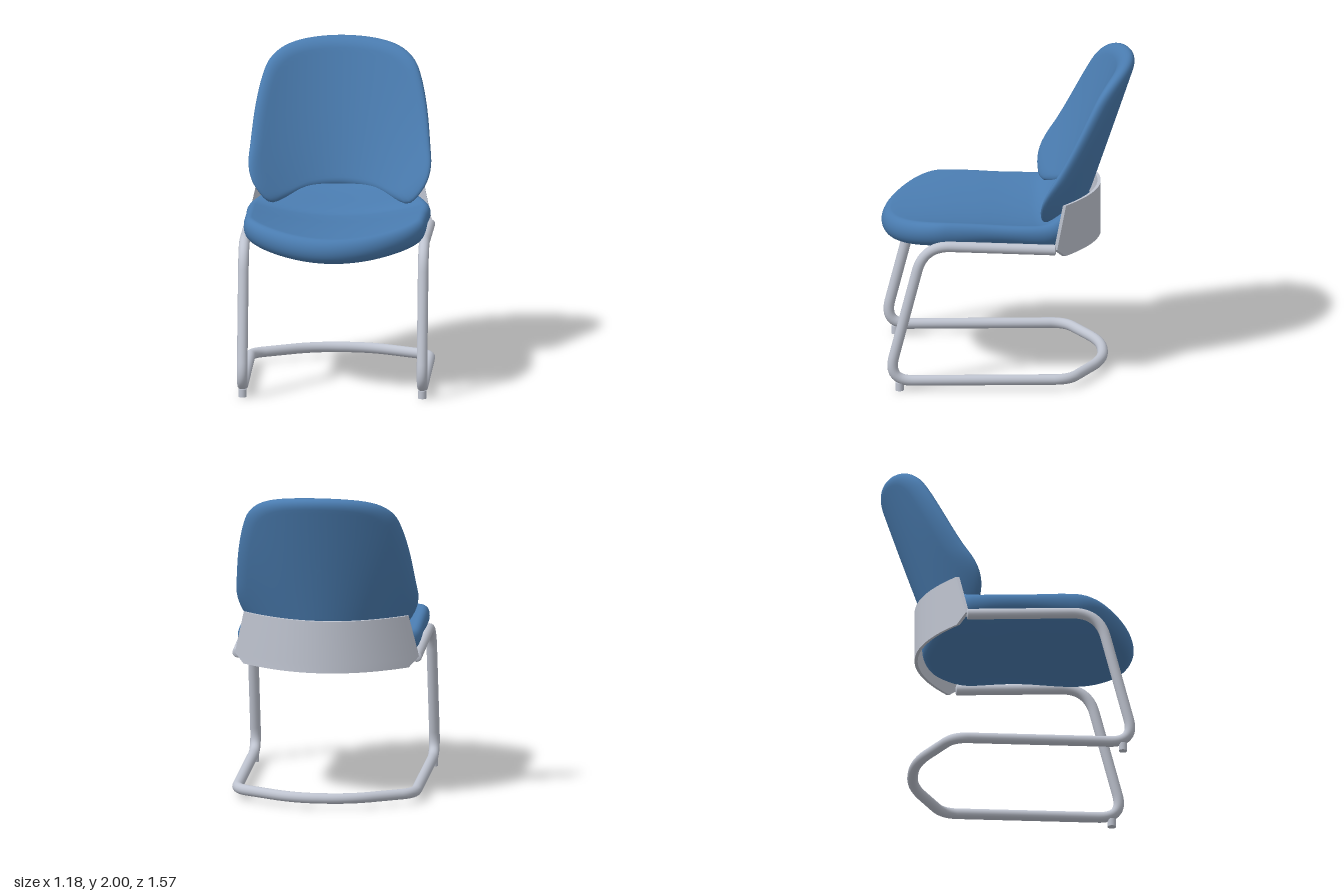
import * as THREE from 'three';
import { toCreasedNormals } from 'three/addons/utils/BufferGeometryUtils.js';

const V = (x, y, z) => new THREE.Vector3(x, y, z);
const { smoothstep } = THREE.MathUtils;

// Skin a series of closed rings that all have the same number of points
function loft(rings) {
  const n = rings[0].length;
  const index = [];
  for (let i = 0; i < rings.length - 1; i++) {
    for (let j = 0; j < n; j++) {
      const a = i * n + j, b = i * n + (j + 1) % n;
      index.push(a, a + n, b, b, a + n, b + n);
    }
  }
  const geometry = new THREE.BufferGeometry().setFromPoints(rings.flat());
  geometry.setIndex(index);
  geometry.computeVertexNormals();
  return geometry;
}

// Padded cushion: a mirrored outline with a rounded rim; place(u, v, h) bends it,
// with h running from +1 on the face to -1 on the underside
function cushion(half, centreV, rim, place) {
  const mirrored = half.slice(1, -1).reverse().map(([u, v]) => [-u, v]);
  const points = [...half, ...mirrored].map(([u, v]) => V(u, v, 0));
  const outline = new THREE.CatmullRomCurve3(points, true).getSpacedPoints(112).slice(0, -1);
  const steps = [];
  for (let i = 0; i < 16; i++) steps.push([Math.max(i / 16, 0.001) * (1 - rim), 1]);
  for (let i = 0; i <= 14; i++) {
    const angle = Math.PI * (0.5 - i / 14);
    steps.push([1 - rim * (1 - Math.cos(angle)), Math.sin(angle)]);
  }
  for (let i = 15; i >= 0; i--) steps.push([Math.max(i / 16, 0.001) * (1 - rim), -1]);
  return loft(steps.map(([s, h]) =>
    outline.map((p) => place(p.x * s, centreV + (p.y - centreV) * s, h))));
}

// Straight runs joined by soft bends; each corner is [point, trim length]
function bentPath(corners) {
  const path = new THREE.CurvePath();
  let from = corners[0][0];
  for (let i = 1; i < corners.length - 1; i++) {
    const [p, trim] = corners[i];
    const toward = (q) => q.clone().sub(p).setLength(trim).add(p);
    const start = toward(corners[i - 1][0]), end = toward(corners[i + 1][0]);
    path.add(new THREE.LineCurve3(from, start));
    path.add(new THREE.QuadraticBezierCurve3(start, p, end));
    from = end;
  }
  path.add(new THREE.LineCurve3(from, corners[corners.length - 1][0]));
  return path;
}

export function createModel() {
  const group = new THREE.Group();
  const fabric = new THREE.MeshStandardMaterial({ color: 0x4a7cb0 });
  fabric.name = 'blueFabric';
  const metal = new THREE.MeshStandardMaterial({ color: 0xbfc4d0 });
  metal.name = 'greyMetal';
  const add = (name, geometry, material) => {
    const mesh = new THREE.Mesh(geometry, material);
    mesh.name = name;
    group.add(mesh);
    return mesh;
  };

  // Seat: dished across, thinner in the middle, sweeping up to the backrest at the rear
  const seatOutline = [[0, 0.78], [0.2, 0.745], [0.38, 0.655], [0.5, 0.55], [0.555, 0.45],
    [0.565, 0.35], [0.565, 0.1], [0.565, -0.2], [0.54, -0.3], [0.45, -0.39], [0.3, -0.47],
    [0, -0.53]];
  add('seat', cushion(seatOutline, 0.1, 0.09, (x, z, h) => {
    const middle = 0.93 + 0.085 * (x / 0.56) ** 2 - 0.02 * (1 - smoothstep(z, -0.3, 0.2));
    const thick = 0.078 - 0.018 * Math.exp(-(((z - 0.02) / 0.3) ** 2));
    const across = Math.max(0, 1 - (x / 0.54) ** 4);
    const rear = 1 - smoothstep(z, -0.42, -0.17);
    const lift = h > 0 ? 0.02 + 0.125 * across * h : 0.02;
    return V(x, middle + thick * h + rear * lift, z);
  }), fabric);

  // Backrest: leaning back and wrapped forward at the sides, more so low down
  const backOutline = [[0, 1.11], [0.22, 1.09], [0.37, 1.045], [0.43, 1.045], [0.49, 1.1],
    [0.545, 1.19], [0.566, 1.28], [0.557, 1.4], [0.53, 1.62], [0.493, 1.78], [0.455, 1.87],
    [0.385, 1.935], [0.27, 1.977], [0, 2]];
  add('backrest', cushion(backOutline, 1.53, 0.14, (x, y, h) => {
    const wrap = 0.56 + 0.5 * ((2 - y) / 0.94) ** 3;
    return V(x, y, -0.475 - 0.335 * (y - 1.18) + wrap * x * x + 0.054 * h);
  }), fabric);

  // Curved metal band behind the backrest; each row is [height, half width]
  const bandRows = [[1.18, 0.512], [0.91, 0.572], [0.852, 0.515]];
  const bandRing = (t, wall) => {
    const row = (offset) => bandRows.map(([y, w]) =>
      V(w * t, y, -0.567 + 0.86 * (w * t) ** 2 + offset));
    return [...row(-wall), ...row(wall).reverse()];
  };
  const bandRings = [bandRing(-1, 0)];
  for (let i = 0; i <= 40; i++) bandRings.push(bandRing(i / 20 - 1, 0.01));
  bandRings.push(bandRing(1, 0));
  add('backBand', toCreasedNormals(loft(bandRings), 0.6), metal);

  // One continuous bent tube: armless cantilever sides and bowed floor rail
  const X = 0.557;
  const side = (s) => [
    [V(s * X, 0.906, -0.28), 0],
    [V(s * X, 0.939, 0.53), 0.17],
    [V(s * X, 0.062, 0.755), 0.16],
    [V(s * X, 0.062, -0.37), 0.09],
    [V(s * 0.17, 0.062, -0.588), 0.15],
  ];
  const path = bentPath([...side(1), ...side(-1).reverse()]);
  add('tubeFrame', new THREE.TubeGeometry(path, 320, 0.033, 16), metal);

  // Front feet and low caps closing the tube ends
  for (const s of [-1, 1]) {
    const foot = add(s > 0 ? 'leftFoot' : 'rightFoot',
      new THREE.CylinderGeometry(0.026, 0.026, 0.05, 20), metal);
    foot.position.set(s * X, 0.025, 0.68);
    const cap = add(s > 0 ? 'leftTubeEnd' : 'rightTubeEnd',
      new THREE.SphereGeometry(0.033, 16, 12), metal);
    cap.position.set(s * X, 0.906, -0.28);
    cap.scale.z = 0.3;
  }
  return group;
}
